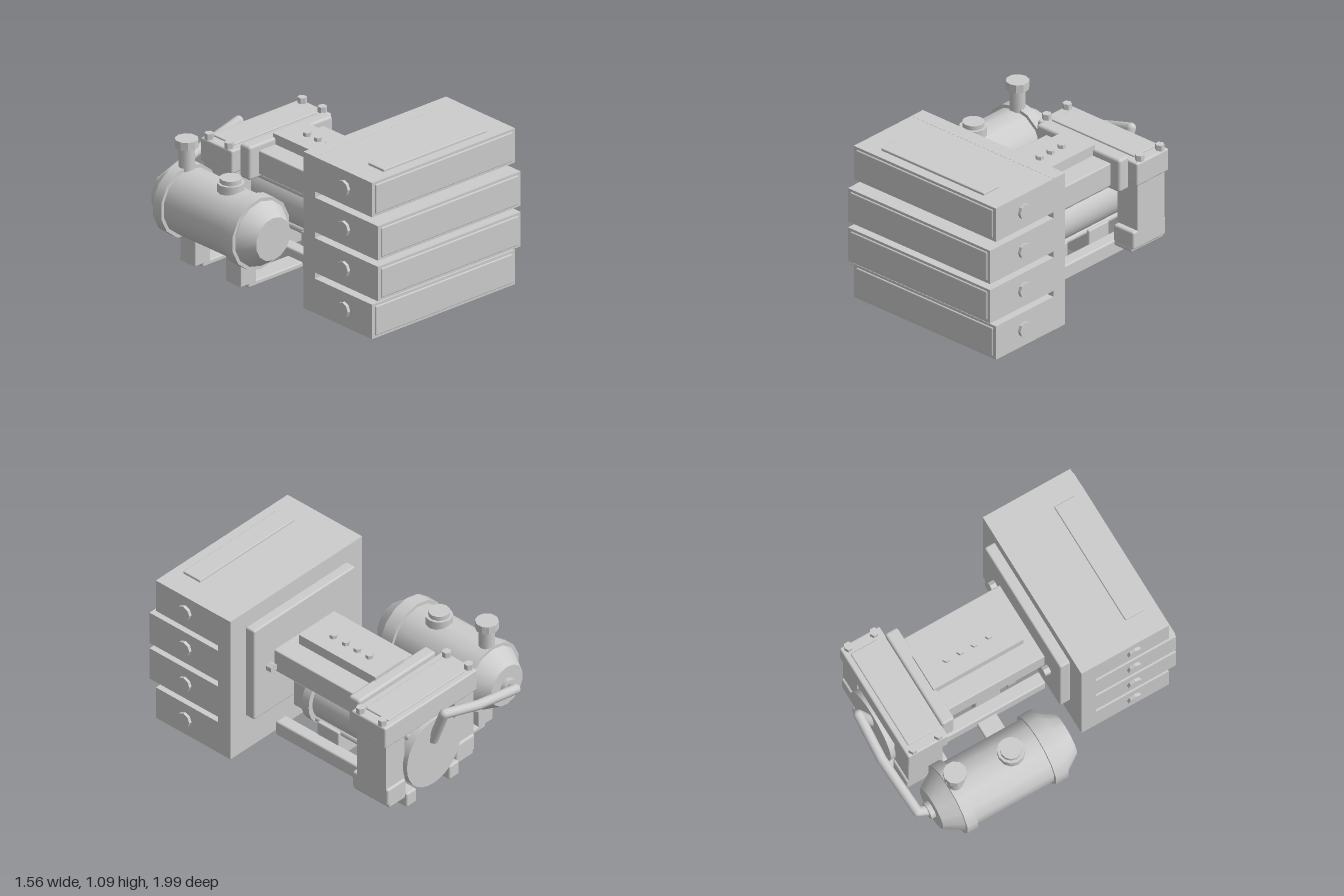
import * as THREE from 'three';
import { RoundedBoxGeometry } from 'three/addons/geometries/RoundedBoxGeometry.js';

export function createModel() {
  const root = new THREE.Group();
  root.name = 'engineUnit';
  const grey = new THREE.MeshStandardMaterial({ color: 0xcccccc });
  grey.name = 'lightGrey';
  const CX = 0.157; // centre line of the main unit
  const TX = -0.54, TY = 0.445; // tank axis

  function add(name, geometry) {
    const m = new THREE.Mesh(geometry, grey);
    m.name = name;
    root.add(m);
    return m;
  }
  // Box from its limits, with optional softened edges
  function box(name, [x0, x1], [y0, y1], [z0, z1], r = 0) {
    const s = [x1 - x0, y1 - y0, z1 - z0];
    const m = add(name, r ? new RoundedBoxGeometry(...s, 2, r) : new THREE.BoxGeometry(...s));
    m.position.set((x0 + x1) / 2, (y0 + y1) / 2, (z0 + z1) / 2);
    return m;
  }
  const about = (c, half) => [c - half, c + half];
  // Cylinder between two points
  function rod(name, a, b, r, sides = 24, flat = false) {
    const p = new THREE.Vector3(...a), q = new THREE.Vector3(...b);
    const d = q.clone().sub(p);
    let g = new THREE.CylinderGeometry(r, r, d.length(), sides);
    if (flat) {
      g = g.toNonIndexed();
      g.computeVertexNormals();
    }
    const m = add(name, g);
    m.position.copy(p).add(q).multiplyScalar(0.5);
    m.quaternion.setFromUnitVectors(new THREE.Vector3(0, 1, 0), d.normalize());
    return m;
  }

  // Stacked front blocks with face panels and side bosses
  box('backSlab', [-0.445, 0.76], [0.003, 1.075], [0.3, 0.405]);
  box('innerCore', [-0.35, 0.67], [0.1, 0.97], [0.405, 0.45]);
  for (let i = 0; i < 4; i++) {
    const y = 0.122 + i * 0.278;
    const front = i === 1 || i === 2 ? 0.985 : 0.932;
    box('frontBlock', [-0.445, 0.76], about(y, 0.118), [0.405, front]);
    box('facePanel', [-0.42, 0.737], about(y, 0.1), [front - 0.02, front + 0.009], 0.007);
    for (const [a, b] of [[-0.43, -0.466], [0.74, 0.781]])
      rod('sideBoss', [a, y + 0.003, 0.68], [b, y + 0.003, 0.68], 0.051, 8, true);
  }
  box('topPlate', [-0.28, 0.59], [1.06, 1.09], [0.715, 0.86], 0.006);
  box('mountPlate', [-0.305, 0.62], [0.267, 0.957], [0.228, 0.305], 0.012);
  for (const s of [-1, 1])
    rod('mountBolt', [CX + s * 0.325, 0.615, 0.24], [CX + s * 0.325, 0.615, 0.187], 0.032, 6, true);

  // Long body with its ridge and bolts
  box('mainBody', [-0.115, 0.435], [0.555, 0.715], [-0.6, 0.235], 0.008);
  box('ridge', [0.025, 0.285], [0.7, 0.785], [-0.49, 0.16]);
  for (const z of [-0.32, -0.22, -0.12, -0.015])
    rod('ridgeBolt', [CX, 0.77, z], [CX, 0.81, z], 0.026, 6, true);
  box('headCollar', [-0.195, 0.51], [0.53, 0.76], [-0.56, -0.468], 0.018);

  // Rear head on two legs
  box('head', [-0.265, 0.58], [0.568, 0.727], [-0.845, -0.555], 0.012);
  box('headCover', [-0.195, 0.507], [0.7, 0.738], [-0.805, -0.61], 0.006);
  for (const s of [-1, 1]) {
    const x = CX + s * 0.393;
    for (const z of [-0.795, -0.61])
      rod('headBolt', [x, 0.7, z], [x, 0.766, z], 0.03, 6, true);
    const legX = CX + s * 0.315;
    box('leg', about(legX, 0.085), [0.2, 0.58], [-0.83, -0.585]);
    box('legClamp', about(legX - s * 0.02, 0.09), [0.09, 0.125], [-0.845, -0.545], 0.01);
    box('legFoot', about(legX, 0.085), [0.11, 0.236], [-0.845, -0.545], 0.014);
    // Skid rail
    box('skidRail', about(CX + s * 0.195, 0.045), [0.02, 0.125], [-0.86, 0.255], 0.012);
  }

  // Horizontal cylinder with flanges and tie rods
  const CY = 0.33;
  rod('cylinderBarrel', [CX, CY, 0.02], [CX, CY, -0.83], 0.165, 28);
  rod('frontFlange', [CX, CY, 0.07], [CX, CY, 0.01], 0.2, 28);
  rod('rearDisc', [CX, CY, -0.81], [CX, CY, -0.865], 0.245, 28);
  for (const sx of [-1, 1])
    for (const sy of [-1, 1])
      rod('tieRod', [CX + sx * 0.12, CY + sy * 0.125, 0.03], [CX + sx * 0.12, CY + sy * 0.125, -0.82], 0.022, 10);

  // Cradle blocks with bolts underneath
  for (const z of [-0.115, -0.49]) {
    box('cradle', about(CX, 0.16), [0.025, 0.22], about(z, 0.09), 0.008);
    for (const s of [-1, 1])
      rod('cradleBolt', [CX + s * 0.08, 0.04, z], [CX + s * 0.08, 0.003, z], 0.026, 6, true);
  }

  // Intake box and its slanted duct up to the body
  box('intakeBox', about(CX, 0.11), [0.195, 0.39], [0.085, 0.225], 0.012);
  rod('intakeStub', [CX, 0.27, 0.24], [CX, 0.27, 0.2], 0.04, 12);
  const duct = new THREE.Shape([[0.21, 0.37], [0.125, 0.56], [-0.06, 0.56], [0.09, 0.37]]
    .map(([z, y]) => new THREE.Vector2(-z, y)));
  const ductGeo = new THREE.ExtrudeGeometry(duct, { depth: 0.2, bevelEnabled: false });
  ductGeo.rotateY(Math.PI / 2).translate(CX - 0.1, 0, 0);
  add('intakeDuct', ductGeo);

  // Side tank: tapered ends, straight shell and two bands
  const tankProfile = [[0, -0.84], [0.145, -0.84], [0.22, -0.72], [0.22, 0.015], [0.145, 0.127], [0, 0.127]];
  for (let i = 0; i < tankProfile.length - 1; i++) {
    const pts = [tankProfile[i], tankProfile[i + 1]].map(p => new THREE.Vector2(...p));
    const g = new THREE.LatheGeometry(pts, 14).rotateX(Math.PI / 2);
    add('tankShell', g).position.set(TX, TY, 0);
  }
  for (const [a, b] of [[-0.72, -0.645], [-0.08, 0.012]])
    rod('tankBand', [TX, TY, a], [TX, TY, b], 0.243, 14);
  rod('tankNozzle', [TX, TY, -0.83], [TX, TY, -0.872], 0.06, 8);

  // Tank filler and low cap
  const tier = (name, z, y0, y1, r) => rod(name, [TX, y0, z], [TX, y1, z], r, 12);
  tier('fillerStem', -0.67, 0.6, 0.82, 0.052);
  rod('fillerCap', [TX, 0.81, -0.67], [TX, 0.865, -0.67], 0.075, 10, true);
  tier('lowCapBase', -0.265, 0.6, 0.705, 0.088);
  tier('lowCap', -0.265, 0.69, 0.735, 0.07);

  // Tank posts and the arms tying them to the rails
  for (const z of [-0.17, -0.59]) {
    box('tankPost', about(TX, 0.065), [0.055, 0.3], about(z, 0.07), 0.006);
    box('tankArm', [-0.54, 0], [0.03, 0.066], about(z, 0.07), 0.01);
  }

  // Pipe from the rear disc to the tank, in straight runs with ball joints
  const run = [[CX, 0.42, -0.86], [CX, 0.67, -0.955], [-0.14, 0.58, -0.965], [-0.52, 0.475, -0.93], [TX, TY, -0.86]];
  for (let i = 0; i < run.length - 1; i++) {
    rod('pipeRun', run[i], run[i + 1], 0.033, 12);
    if (i) add('pipeJoint', new THREE.SphereGeometry(0.033, 12, 8)).position.set(...run[i]);
  }
  return root;
}
